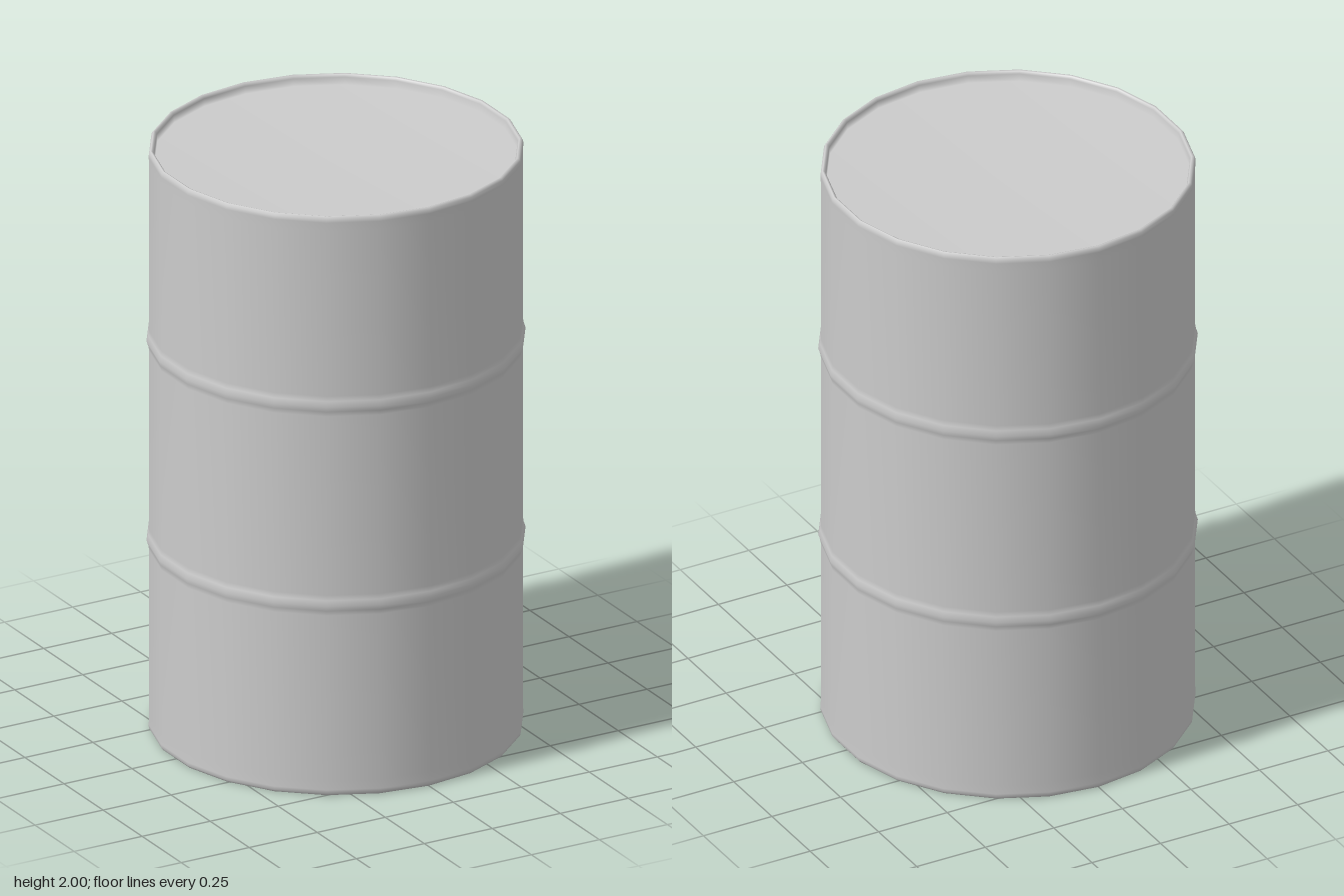
import * as THREE from 'three';

const SIDES = 22;
const material = new THREE.MeshStandardMaterial({ color: 0xcccccc, side: THREE.DoubleSide });

function lathe(name, profile, sides) {
  const points = profile.map(([r, y]) => new THREE.Vector2(r, y));
  const mesh = new THREE.Mesh(new THREE.LatheGeometry(points, sides), material);
  mesh.name = name;
  return mesh;
}

// Rolled rim with a recessed lid, from the lid centre out to the wall (bottom end)
const END = [[0, 0.035], [0.58, 0.035], [0.582, 0.01], [0.587, 0.002], [0.593, 0], [0.599, 0.008], [0.6, 0.02]];

// Rolling hoop: a small swelling of the wall
const hoop = (y) => [[0.598, y - 0.035], [0.601, y - 0.018], [0.607, y], [0.601, y + 0.018], [0.598, y + 0.035]];

// Screw plug standing down from the bottom lid: flange, neck and dished cap
function plug(name, x, r) {
  const h = 0.022;
  const mesh = lathe(name, [
    [0, -h * 0.7], [r * 0.58, -h * 0.7], [r * 0.62, -h], [r * 0.74, -h],
    [r * 0.8, -h * 0.5], [r * 0.95, -h * 0.35], [r, 0],
  ], 10);
  mesh.position.set(x, 0.036, 0);
  return mesh;
}

export function createModel() {
  const group = new THREE.Group();
  group.name = 'drum';

  // Shell: bottom end, wall with two hoops, mirrored top end
  const topEnd = END.map(([r, y]) => [r, 2 - y]).reverse();
  group.add(lathe('shell', [
    ...END, [0.598, 0.05], ...hoop(0.657), ...hoop(1.345), [0.598, 1.95], ...topEnd,
  ], SIDES));

  group.add(plug('largePlug', -0.445, 0.07), plug('smallPlug', 0.49, 0.048));
  return group;
}
